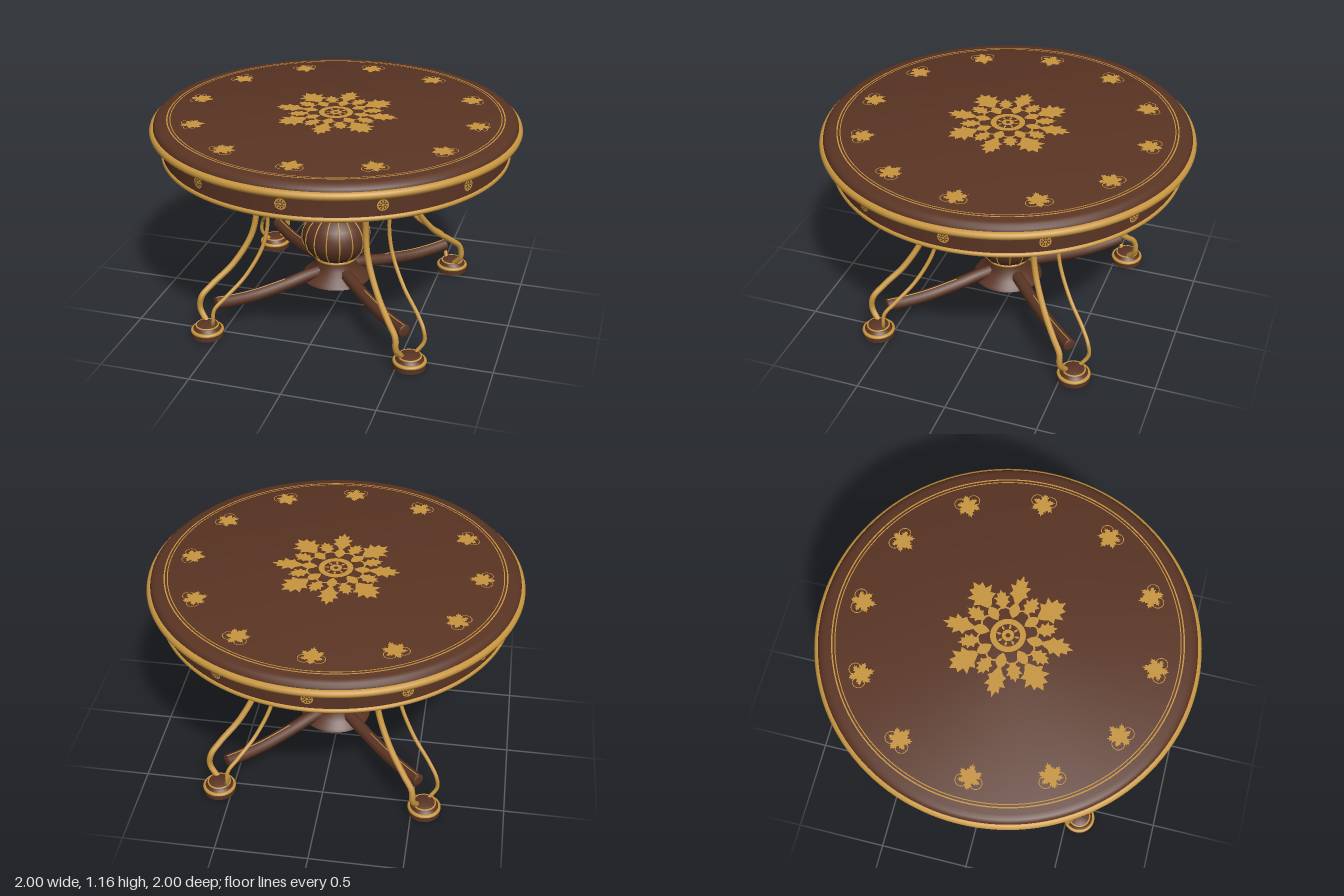
import * as THREE from 'three';
import { mergeGeometries, toCreasedNormals } from 'three/addons/utils/BufferGeometryUtils.js';

export function createModel() {
  const model = new THREE.Group();
  const wood = new THREE.MeshStandardMaterial({ color: 0x5a3423 });
  wood.name = 'dark wood';
  const gold = new THREE.MeshStandardMaterial({ color: 0xc8963f });
  gold.name = 'gold';

  const add = (name, geo, mat, parent = model) => {
    const mesh = new THREE.Mesh(geo, mat);
    mesh.name = name;
    parent.add(mesh);
    return mesh;
  };
  const lathe = (pts, seg = 64) => toCreasedNormals(
    new THREE.LatheGeometry(pts.map(([r, y]) => new THREE.Vector2(r, y)), seg), 0.6);
  const ring = (r, tube, y, seg = 96) =>
    new THREE.TorusGeometry(r, tube, 10, seg).rotateX(Math.PI / 2).translate(0, y, 0);
  const tube = (pts, r, seg = 40) => new THREE.TubeGeometry(
    new THREE.CatmullRomCurve3(pts.map(p => new THREE.Vector3(...p))), seg, r, 8);

  // Table top and apron
  add('tableTop', lathe([[0, 1.085], [0.975, 1.085], [0.98, 1.12], [0.975, 1.14],
    [0.962, 1.153], [0.94, 1.16], [0, 1.16]], 128), wood);
  add('topEdgeMoulding', ring(0.978, 0.022, 1.106, 128), gold);
  add('apron', lathe([[0, 0.95], [0.935, 0.95], [0.935, 1.09]], 128), wood);
  add('apronMoulding', ring(0.93, 0.014, 0.963, 128), gold);

  // Flat ornament pieces, drawn in a plane and placed along a direction
  const place = (geo, a, r, x = 0) => geo.translate(x, r, 0).rotateZ(-a);
  const leaf = (len, w) => {
    const side = [[0.16, 0.0], [0.5, 0.22], [0.9, 0.3], [0.62, 0.42], [1, 0.62],
      [0.5, 0.62], [0.55, 0.84], [0.22, 0.8]];
    const pts = [...side.map(([x, y]) => [x, y]), [0, 1],
      ...side.slice().reverse().map(([x, y]) => [-x, y])];
    return new THREE.ShapeGeometry(
      new THREE.Shape(pts.map(([x, y]) => new THREE.Vector2(x * w / 2, y * len))));
  };
  const petal = (len, w) => {
    const s = new THREE.Shape();
    s.moveTo(0, 0);
    s.quadraticCurveTo(w, len * 0.55, 0, len);
    s.quadraticCurveTo(-w, len * 0.55, 0, 0);
    return new THREE.ShapeGeometry(s, 8);
  };
  const band = (r0, r1, seg = 32, a0 = 0, a1 = Math.PI * 2) =>
    new THREE.RingGeometry(r0, r1, seg, 1, a0, a1);
  const layFlat = (parts, y) => mergeGeometries(parts).rotateX(-Math.PI / 2).translate(0, y, 0);

  // Central inlay
  const inlay = [band(0.012, 0.032), band(0.062, 0.092)];
  for (let i = 0; i < 8; i++) {
    const a = i * Math.PI / 4, h = a + Math.PI / 8;
    const diagonal = i % 2 === 1;
    inlay.push(place(leaf(0.165, diagonal ? 0.15 : 0.11), a, diagonal ? 0.185 : 0.18));
    inlay.push(place(petal(0.09, 0.055), a, 0.097));
    inlay.push(place(leaf(0.11, 0.085), h, 0.15));
    inlay.push(place(band(0.033, 0.043, 16, 0, Math.PI), h, 0.12));
    inlay.push(place(petal(0.028, 0.012), a, 0.033));
  }
  add('centreInlay', layFlat(inlay, 1.163), gold);

  // Ring of small flowers, fanned towards the centre
  const sprays = [];
  for (let i = 0; i < 12; i++) {
    const a = i * Math.PI / 6;
    [[0, 0.085, 0.05], [0.85, 0.075, 0.045], [-0.85, 0.075, 0.045],
      [1.75, 0.06, 0.035], [-1.75, 0.06, 0.035], [Math.PI, 0.055, 0.045]].forEach(([t, len, w]) =>
      sprays.push(place(leaf(len, w).rotateZ(Math.PI + t), a, 0.785)));
    for (const s of [-1, 1]) sprays.push(place(band(0.03, 0.034, 20), a, 0.795, s * 0.036));
  }
  add('flowerInlays', layFlat(sprays, 1.163), gold);
  add('borderLines', layFlat([band(0.884, 0.889, 128), band(0.899, 0.906, 128)], 1.162), gold);

  // Rosettes around the apron
  for (let i = 0; i < 12; i++) {
    const parts = [band(0.023, 0.03, 24), new THREE.CircleGeometry(0.008, 12)];
    for (let k = 0; k < 8; k++) parts.push(place(petal(0.015, 0.009), k * Math.PI / 4, 0.009));
    const a = i * Math.PI / 6;
    add('apronRosette', mergeGeometries(parts).translate(0, 1.033, 0.94).rotateY(a), gold);
  }

  // Pedestal column, bulb and hub
  add('column', lathe([[0.105, 0.59], [0.112, 0.62], [0.1, 0.645], [0.083, 0.69], [0.077, 0.74],
    [0.083, 0.8], [0.097, 0.87], [0.11, 0.915], [0.128, 0.93], [0.13, 0.955]]), wood);
  const bulb = [[0.11, 0.3], [0.145, 0.33], [0.177, 0.37], [0.192, 0.42], [0.187, 0.47],
    [0.165, 0.515], [0.135, 0.545], [0.11, 0.56]];
  add('bulb', lathe(bulb), wood);
  add('hub', lathe([[0, 0.165], [0.18, 0.165], [0.195, 0.175], [0.185, 0.19], [0.145, 0.21],
    [0.12, 0.245], [0.108, 0.285], [0.108, 0.31]]), wood);
  [[0.112, 0.011, 0.3], [0.108, 0.011, 0.562], [0.115, 0.011, 0.592], [0.119, 0.007, 0.922]]
    .forEach(([r, t, y]) => add('columnRing', ring(r, t, y, 48), gold));
  for (let i = 0; i < 16; i++) {
    add('bulbRib', tube(bulb.map(([r, y]) => [0, y, r]), 0.0035, 20).rotateY(i * Math.PI / 8), gold);
  }

  // Four corner supports: wooden arm, two curved rods and a round foot
  const rodPath = [[0.96, 0.46, 0.32], [0.84, 0.4, 0.285], [0.69, 0.372, 0.27], [0.52, 0.395, 0.29],
    [0.36, 0.48, 0.365], [0.26, 0.575, 0.45], [0.2, 0.622, 0.5], [0.13, 0.63, 0.507],
    [0.065, 0.585, 0.53]];
  const armPath = [[0.05, 0.225], [0.13, 0.215], [0.23, 0.193], [0.36, 0.176], [0.45, 0.178],
    [0.525, 0.187]];
  for (let i = 0; i < 4; i++) {
    const leg = new THREE.Group();
    leg.name = 'legAssembly';
    leg.rotation.y = i * Math.PI / 2;
    model.add(leg);
    add('thickRod', tube(rodPath.map(([y, o, n]) => [n, y, o]), 0.017, 64), gold, leg);
    add('thinRod', tube(rodPath.map(([y, o, n]) => [o, y, n]), 0.011, 64), gold, leg);

    add('arm', tube(armPath.map(([d, y]) => [d, y, d]), 0.036), wood, leg);
    const end = new THREE.SphereGeometry(0.036, 16, 10);
    end.scale(1, 1, 0.25).rotateY(Math.PI / 4).translate(0.525, 0.187, 0.525);
    add('armEnd', end, wood, leg);
    add('armTrim', tube(armPath.slice(2).map(([d, y]) => [d, y + 0.035, d]), 0.003), gold, leg);

    const foot = new THREE.Group();
    foot.name = 'foot';
    foot.position.set(0.568, 0, 0.568);
    leg.add(foot);
    add('footBase', lathe([[0, 0], [0.075, 0], [0.088, 0.008], [0.088, 0.032]], 40), wood, foot);
    add('footBand', ring(0.08, 0.011, 0.041, 40), gold, foot);
    add('footDome', lathe([[0.085, 0.045], [0.068, 0.058], [0.06, 0.072], [0.04, 0.08],
      [0, 0.082]], 40), wood, foot);
    add('footCollar', ring(0.06, 0.005, 0.07, 40), gold, foot);
  }
  return model;
}
